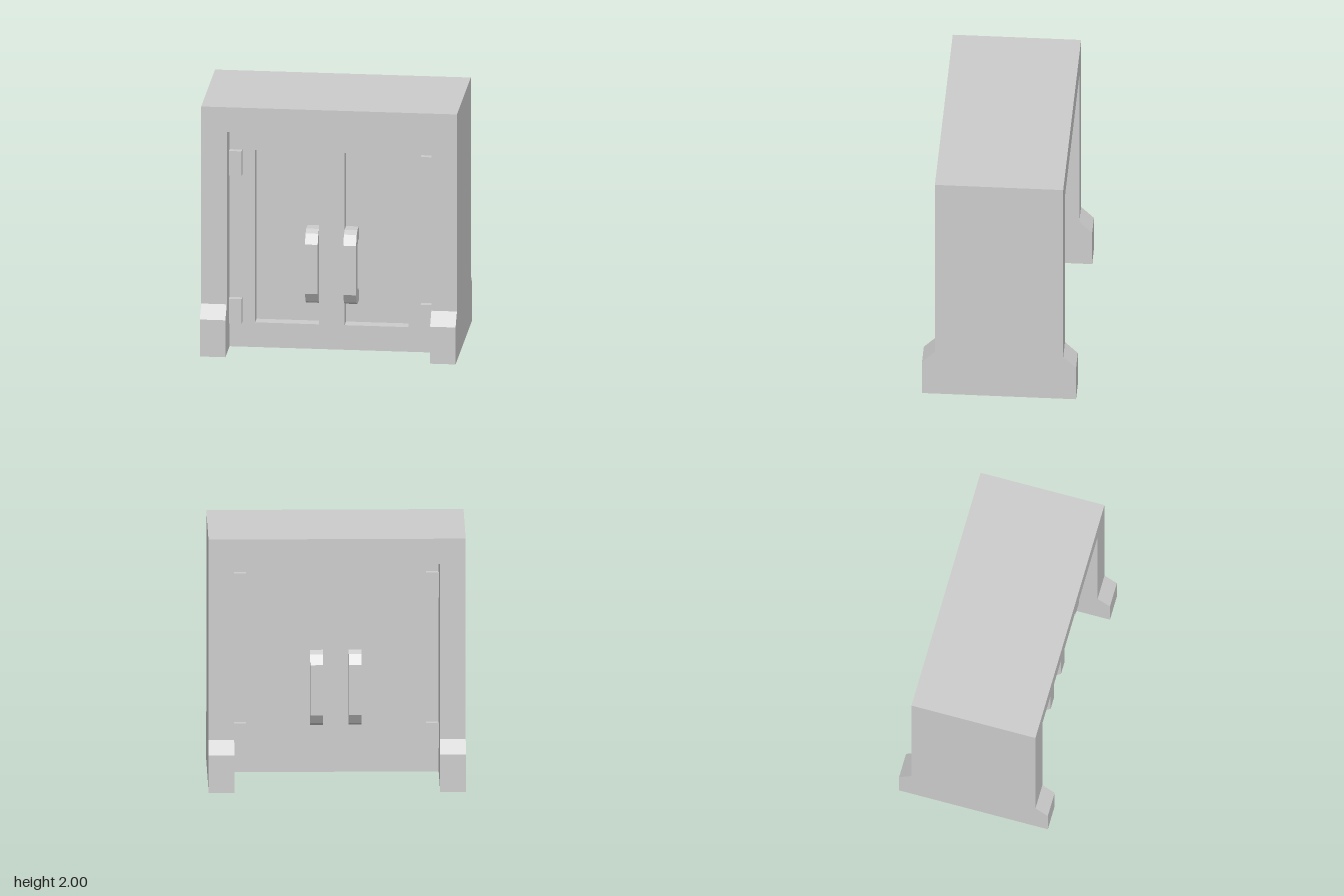
import * as THREE from 'three';

const grey = new THREE.MeshStandardMaterial({ color: 0xcccccc, flatShading: true });

function add(parent, name, geometry, x = 0, y = 0, z = 0) {
  const mesh = new THREE.Mesh(geometry, grey);
  mesh.name = name;
  mesh.position.set(x, y, z);
  parent.add(mesh);
  return mesh;
}

const polygon = (points) => new THREE.Shape(points.map(([x, y]) => new THREE.Vector2(x, y)));

// Extrudes a [z, y] profile along x, centred on x = 0
function profileAlongX(points, width) {
  const g = new THREE.ExtrudeGeometry(polygon(points), { depth: width, bevelEnabled: false });
  g.translate(0, 0, -width / 2);
  return g.rotateY(-Math.PI / 2);
}

const rect = (x0, y0, x1, y1) => [[x0, y0], [x1, y0], [x1, y1], [x0, y1]];

export function createModel() {
  const cabinet = new THREE.Group();
  cabinet.name = 'cabinet';

  // Side walls with flared feet, joined by the top
  const side = [
    [-0.6, 0], [0.6, 0], [0.6, 0.3], [0.5, 0.4], [0.5, 2],
    [-0.5, 2], [-0.5, 0.4], [-0.6, 0.3],
  ];
  add(cabinet, 'leftSide', profileAlongX(side, 0.2), 0.9);
  add(cabinet, 'rightSide', profileAlongX(side, 0.2), -0.9);
  add(cabinet, 'top', new THREE.BoxGeometry(1.6, 0.2, 1), 0, 1.9, 0);

  // Door panel: solid back and a front frame with two sunken fields
  const doors = new THREE.Group();
  doors.name = 'doors';
  cabinet.add(doors);
  add(doors, 'doorBack', new THREE.BoxGeometry(1.6, 1.8, 0.1), 0, 0.9, 0.15);
  const frame = polygon(rect(-0.8, 0, 0.8, 1.8));
  frame.holes.push(polygon(rect(-0.6, 0.2, -0.1, 1.6)), polygon(rect(0.1, 0.2, 0.6, 1.6)));
  add(doors, 'doorFrame', new THREE.ExtrudeGeometry(frame, { depth: 0.1, bevelEnabled: false }), 0, 0, 0.2);

  // Bracket handles, [distance from door, height from handle middle]
  const outer = [[0, 0.3], [0.1, 0.3], [0.15, 0.275], [0.2, 0.2]];
  const inner = [[0, 0.2], [0.06, 0.2], [0.1, 0.15]];
  const flip = (pts) => pts.map(([z, y]) => [z, -y]);
  const bracket = [
    ...outer, ...flip(outer).reverse(), ...flip(inner), ...inner.slice().reverse(),
  ];

  for (const s of [-1, 1]) {
    const label = s > 0 ? 'left' : 'right';
    add(doors, label + 'FrontHandle', profileAlongX(bracket, 0.1), s * 0.15, 0.675, 0.2);
    const back = add(doors, label + 'BackHandle', profileAlongX(bracket, 0.1), s * 0.15, 0.675, 0.2);
    back.rotation.y = Math.PI;

    // Hinges reach through the door and show on both faces
    for (const y of [0.3, 1.5]) {
      add(doors, label + 'Hinge', new THREE.BoxGeometry(0.1, 0.2, 0.3), s * 0.75, y, 0.2);
    }
  }
  return cabinet;
}
